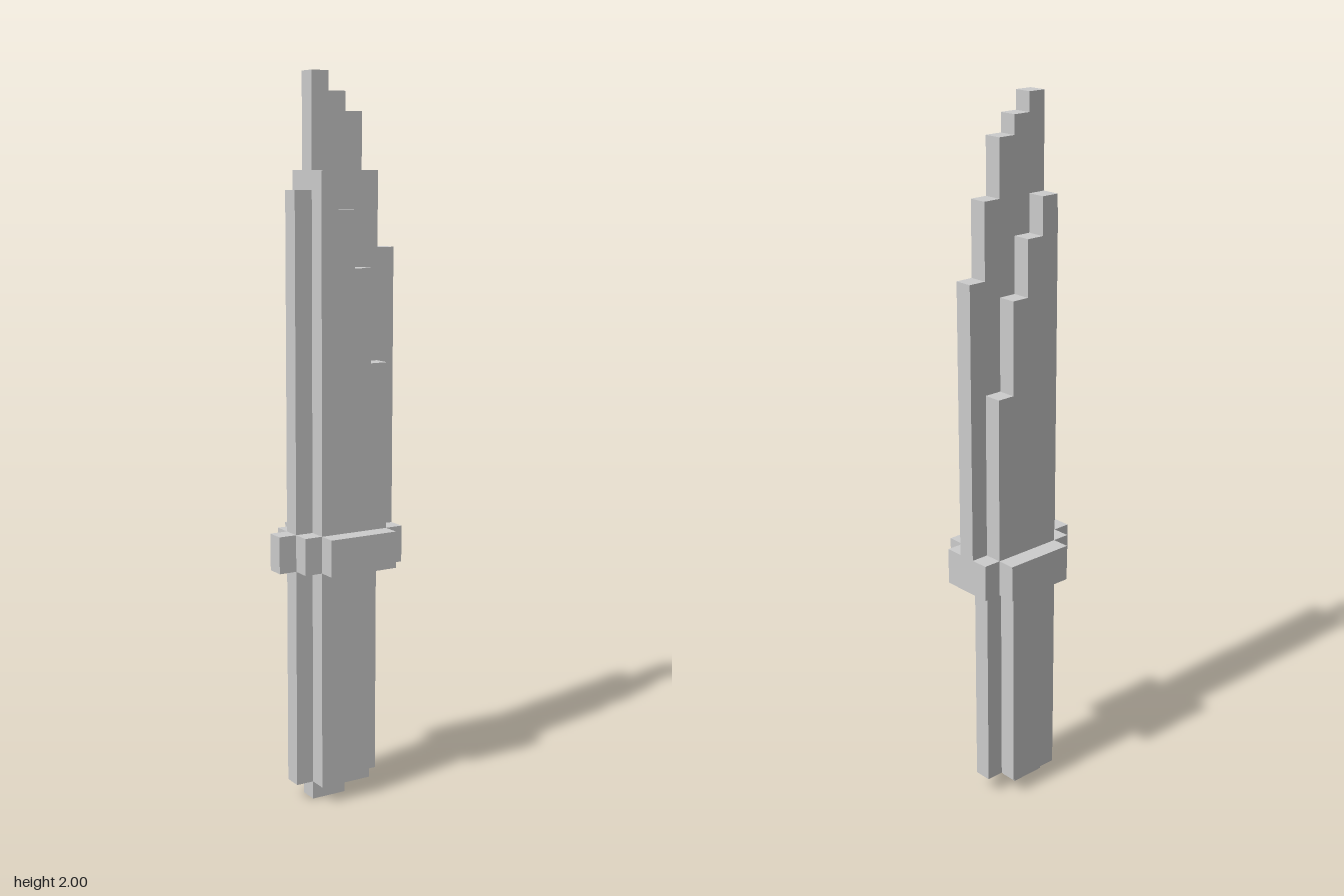
import * as THREE from 'three';

// The knife sits on a grid of square cells, 39 cells tall
const U = 2 / 39;

function createPart(name, points, depth) {
  const shape = new THREE.Shape(points.map(([a, b]) => new THREE.Vector2(a * U, b * U)));
  const geometry = new THREE.ExtrudeGeometry(shape, { depth: depth * U, bevelEnabled: false });
  const material = new THREE.MeshStandardMaterial({ color: 0xcccccc, flatShading: true });
  const mesh = new THREE.Mesh(geometry, material);
  mesh.name = name;
  return mesh;
}

// Upright slab one cell thick, with one column per top height
function bladeLayer(name, left, tops, z) {
  const bottom = 15;
  const points = [[left + tops.length, bottom], [left, bottom]];
  tops.forEach((top, i) => points.push([left + i, top], [left + i + 1, top]));
  const mesh = createPart(name, points.reverse(), 1);
  mesh.position.z = (z - 0.5) * U;
  return mesh;
}

// Stepped plan, mirrored front to back: rows of [left, right, half depth], raised from y0 to y1
function planPart(name, steps, y0, y1) {
  const front = steps.flatMap(([left, right, half]) => [[left, half], [right, half]]);
  const back = front.map(([x, z]) => [x, -z]).reverse();
  const mesh = createPart(name, [...front, ...back], y1 - y0);
  mesh.geometry.rotateX(-Math.PI / 2);
  mesh.position.y = y0 * U;
  return mesh;
}

export function createModel() {
  const model = new THREE.Group();
  model.name = 'knife';

  // Blade: tall core with a shorter stepped layer on each face
  model.add(bladeLayer('bladeCore', -2.5, [33, 39, 38, 37, 34, 30], 0));
  for (const side of [1, -1]) {
    model.add(bladeLayer(side > 0 ? 'bladeFront' : 'bladeBack', -1.5, [34, 32, 29, 24], side));
  }

  // Guard, handle and pommel
  model.add(planPart('guard', [[-3.5, -2.5, 0.5], [-2.5, -1.5, 1.5], [-1.5, 2.5, 2.5], [2.5, 3.5, 1.5]], 13, 15));
  model.add(planPart('handle', [[-2.5, -1.5, 0.5], [-1.5, 1.5, 1.5], [1.5, 2.5, 0.5]], 1, 13));
  model.add(planPart('pommel', [[-1.5, 0.5, 0.5]], 0, 1));
  return model;
}
